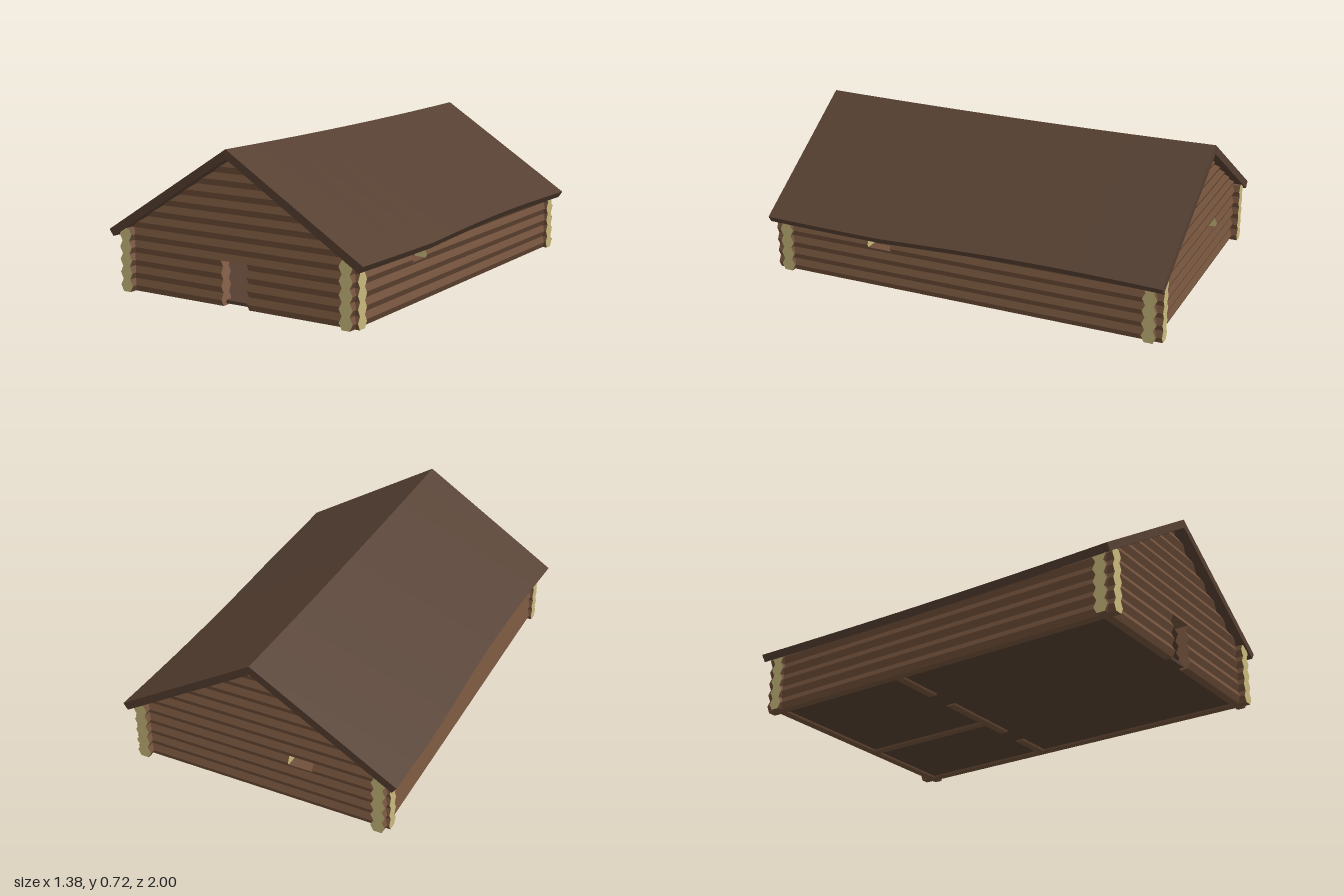
import * as THREE from 'three';

const mat = (color) => new THREE.MeshStandardMaterial({ color, flatShading: true, roughness: 1 });
const wood = mat(0x70503a), cutEnd = mat(0xc8b97c), doorCut = mat(0x8a644b);
const roofMat = mat(0x553f31), floorMat = mat(0x553f31);

const H = 0.06;              // height of one log
const SLOPE = 0.623;         // roof pitch
const WX = 0.6, WZ = 0.92;   // wall centre lines
const EX = 0.645, EZ = 0.98; // log ends past the corners

// Half width of a hexagonal log at height y
const halfWidth = (y) => {
  const t = y / H - Math.floor(y / H + 1e-6);
  return 0.035 - 0.03 * Math.abs(t - 0.5);
};

// Log running along z from a to b, cut to the heights y0..y1
function log(parent, name, a, b, y0, y1, cap = wood, underRoof = false) {
  const mid = (Math.floor(y0 / H + 1e-6) + 0.5) * H;
  const ys = [y0, y1];
  if (mid > y0 + 1e-4 && mid < y1 - 1e-4) ys.splice(1, 0, mid);
  const right = ys.map((y) => new THREE.Vector2(halfWidth(y === y1 ? y - 1e-5 : y), y));
  const left = right.map((p) => new THREE.Vector2(-p.x, p.y)).reverse();
  const geo = new THREE.ExtrudeGeometry(new THREE.Shape([...right, ...left]), {
    depth: b - a, bevelEnabled: false, steps: 1,
  });
  geo.translate(0, 0, a);
  if (underRoof) {
    const p = geo.attributes.position;
    for (let i = 0; i < p.count; i++) {
      const lim = Math.max(0.005, (0.686 - p.getY(i)) / SLOPE);
      p.setZ(i, Math.sign(p.getZ(i)) * Math.min(Math.abs(p.getZ(i)), lim));
    }
    geo.computeVertexNormals();
  }
  const mesh = new THREE.Mesh(geo, [cap, wood]);
  mesh.name = name;
  parent.add(mesh);
}

// Roof half: a bent slab that sags a little at the ridge and along the eave
function roofSlab(side, sagZ) {
  const geo = new THREE.BoxGeometry(1, 1, 1, 1, 1, 10).toNonIndexed();
  const p = geo.attributes.position;
  for (let i = 0; i < p.count; i++) {
    const u = 0.5 + side * p.getX(i);
    const top = p.getY(i) > 0;
    const t = p.getZ(i) * 2;
    const z = t * 0.988 + (1 - u) * 0.012 * t;
    const bump = Math.max(0, Math.cos(((z - sagZ) / 0.75) * Math.PI / 2));
    const eave = 0.69 - 0.02 * bump;
    const ridge = 0.707 + 0.01 * z * z;
    const x = u * eave - (top ? 0 : 0.022 * u);
    const y = ridge - SLOPE * u * eave - (top ? 0 : 0.043 - 0.012 * u);
    p.setXYZ(i, side * x, y, z);
  }
  geo.computeVertexNormals();
  const mesh = new THREE.Mesh(geo, roofMat);
  mesh.name = side > 0 ? 'leftRoofSlope' : 'rightRoofSlope';
  return mesh;
}

export function createModel() {
  const model = new THREE.Group();
  model.name = 'logCabin';
  const wall = (name, x, z, alongX) => {
    const g = new THREE.Group();
    g.name = name;
    g.position.set(x, 0, z);
    if (alongX) g.rotation.y = Math.PI / 2;
    model.add(g);
    return g;
  };
  const front = wall('frontWall', 0, WZ, true);
  const back = wall('backWall', 0, -WZ, true);
  const leftSide = wall('leftWall', WX, 0, false);
  const rightSide = wall('rightWall', -WX, 0, false);

  // Log row with a window hole between a and b
  const windowRow = (g, end, a, b, y) => {
    log(g, 'wallLog', -end, a, y, y + H, cutEnd);
    log(g, 'wallLog', b, end, y, y + H, cutEnd);
    log(g, 'windowSill', a, b, y, y + 0.015);
  };

  for (let i = 0; i < 5; i++) {
    const y = i * H;
    // Front wall with the doorway
    if (i < 4) {
      log(front, 'wallLog', -EX, -0.3, y, y + H, cutEnd);
      log(front, 'wallLog', 0.3, EX, y, y + H, cutEnd);
      const top = i < 3 ? y + H : 0.21;
      log(front, 'doorSideLog', -0.3, -0.07, y, top, doorCut);
      log(front, 'doorSideLog', 0.07, 0.3, y, top, doorCut);
      if (i === 3) log(front, 'doorLintel', -0.3, 0.3, 0.21, 0.24);
    } else log(front, 'wallLog', -EX, EX, y, y + H, cutEnd);

    // Back and side walls
    if (i === 3) {
      windowRow(back, EX, -0.27, -0.15, y);
      windowRow(leftSide, EZ, 0.36, 0.48, y);
    } else {
      log(back, 'wallLog', -EX, EX, y, y + H, cutEnd);
      log(leftSide, 'wallLog', -EZ, EZ, y, y + H, cutEnd);
    }
    log(rightSide, 'wallLog', -EZ, EZ, y, y + H, cutEnd);
  }

  // Gables, cut to the slope of the roof
  for (let i = 5; i < 12; i++) {
    const y = i * H, top = i < 11 ? y + H : 0.685;
    for (const g of [front, back]) log(g, 'gableLog', -EX, EX, y, top, wood, true);
  }

  // Inner walls with two doorways
  const cross = wall('innerCrossWall', 0, -0.2, true);
  const divider = wall('innerDividerWall', 0.1, 0, false);
  for (let i = 0; i < 5; i++) {
    const y = i * H;
    const spans = i < 4 ? [[-WX, -0.33], [-0.19, 0.25], [0.39, WX]] : [[-WX, WX]];
    for (const [a, b] of spans) log(cross, 'innerLog', a, b, y, y + H);
    log(divider, 'innerLog', -WZ, -0.2, y, y + H);
  }

  // Floor
  const floor = new THREE.Mesh(new THREE.BoxGeometry(WX * 2, 0.015, WZ * 2), floorMat);
  floor.position.y = 0.016;
  floor.name = 'floor';
  model.add(floor);

  // Roof
  model.add(roofSlab(1, -0.35), roofSlab(-1, 0.25));
  return model;
}
